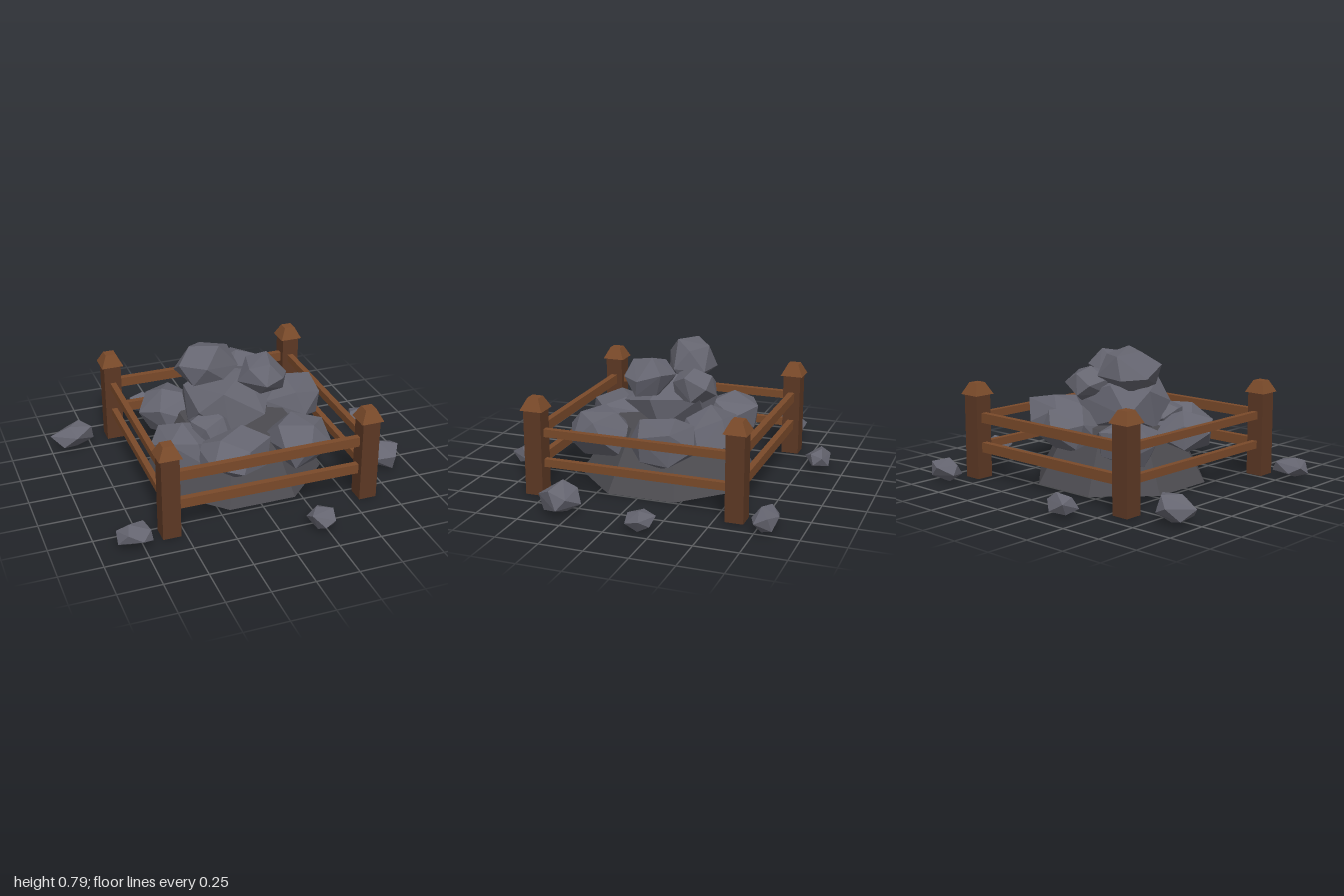
import * as THREE from 'three';
import { ConvexGeometry } from 'three/addons/geometries/ConvexGeometry.js';

function material(name, color) {
  const m = new THREE.MeshStandardMaterial({ color, flatShading: true });
  m.name = name;
  return m;
}

// Small seeded generator
function seeded(seed) {
  let s = seed * 7919 + 17;
  return () => {
    s = (s * 16807) % 2147483647;
    return s / 2147483647;
  };
}

// Faceted boulder: hull of jittered sphere points, fitted to a box given by its limits
function rockGeometry(x0, x1, y0, y1, z0, z1, seed, count = 13) {
  const rnd = seeded(seed);
  for (let i = 0; i < 5; i++) rnd();
  const turn = new THREE.Euler(rnd() * 6.28, rnd() * 6.28, rnd() * 6.28);
  const points = [];
  for (let i = 0; i < count; i++) {
    const h = 1 - (2 * (i + 0.5)) / count;
    const a = i * 2.39996 + (rnd() - 0.5) * 0.4;
    const r = Math.sqrt(1 - h * h);
    const p = new THREE.Vector3(Math.cos(a) * r, h, Math.sin(a) * r);
    points.push(p.multiplyScalar(0.9 + rnd() * 0.2).applyEuler(turn));
  }
  const box = new THREE.Box3().setFromPoints(points);
  const size = box.getSize(new THREE.Vector3());
  const target = new THREE.Vector3(x1 - x0, y1 - y0, z1 - z0);
  for (const p of points) {
    p.sub(box.min).divide(size).multiply(target).add(new THREE.Vector3(x0, y0, z0));
  }
  return new ConvexGeometry(points);
}

export function createModel() {
  const model = new THREE.Group();
  model.name = 'fencedRockPile';
  const stone = material('stone', 0x656570);
  const earth = material('darkStone', 0x4c4b50);
  const darkWood = material('darkWood', 0x5c3824);
  const wood = material('wood', 0x7a4a2a);

  const add = (name, geometry, mat, x = 0, y = 0, z = 0, parent = model) => {
    const mesh = new THREE.Mesh(geometry, mat);
    mesh.name = name;
    mesh.position.set(x, y, z);
    parent.add(mesh);
    return mesh;
  };
  const group = (name) => {
    const g = new THREE.Group();
    g.name = name;
    model.add(g);
    return g;
  };

  // Octagonal mound under the boulders
  const mound = add('mound', new THREE.CylinderGeometry(0.325, 0.522, 0.34, 8), earth, 0.01, 0.17, -0.015);
  mound.rotation.y = Math.PI / 8;

  // Pile: limits of each boulder as x0, x1, y0, y1, z0, z1
  const pile = group('rockPile');
  const boulders = {
    backLeftBoulder: [-0.50, -0.13, 0.16, 0.43, -0.48, -0.12],
    backBoulder: [-0.07, 0.34, 0.17, 0.455, -0.51, -0.15],
    leftSideBoulder: [0.19, 0.58, 0.15, 0.46, -0.32, 0.08],
    frontLeftBoulder: [0.09, 0.46, 0.17, 0.42, 0.11, 0.49],
    frontBoulder: [-0.32, 0.11, 0.16, 0.42, 0.16, 0.54],
    rightSideBoulder: [-0.55, -0.19, 0.18, 0.42, -0.08, 0.33],
    wedgedRock: [-0.31, -0.05, 0.28, 0.47, 0.01, 0.27],
    coreBoulder: [-0.28, 0.21, 0.24, 0.62, -0.25, 0.23],
    summitBoulder: [-0.32, 0.05, 0.53, 0.79, -0.24, 0.05],
    frontSummitRock: [0.0, 0.30, 0.52, 0.74, -0.09, 0.22],
    backSummitRock: [-0.05, 0.20, 0.47, 0.67, -0.32, -0.08],
  };
  Object.entries(boulders).forEach(([name, b], i) => {
    add(name, rockGeometry(...b, i + 3, 14), stone, 0, 0, 0, pile);
  });

  // Loose stones scattered outside the fence
  const loose = group('looseStones');
  [
    [-1.0, -0.73, 0.0, 0.155, -0.64, -0.44],
    [-0.43, -0.25, 0.01, 0.13, -0.91, -0.76],
    [0.56, 0.79, 0.0, 0.13, -0.87, -0.72],
    [0.84, 1.0, 0.01, 0.125, -0.26, -0.11],
    [0.71, 0.95, 0.01, 0.18, 0.20, 0.43],
    [0.15, 0.31, 0.01, 0.13, 0.72, 0.90],
    [-0.89, -0.69, 0.01, 0.13, 0.53, 0.70],
  ].forEach((b, i) => add('looseStone' + (i + 1), rockGeometry(...b, i + 31, 11), stone, 0, 0, 0, loose));

  // Fence: corner posts with tapered caps
  const fence = group('fence');
  const xs = [-0.582, 0.6];
  const zs = [-0.613, 0.568];
  const postGeometry = new THREE.BoxGeometry(0.105, 0.5, 0.105);
  const capGeometry = new THREE.CylinderGeometry(0.032 * Math.SQRT2, 0.067 * Math.SQRT2, 0.07, 4);
  capGeometry.rotateY(Math.PI / 4);
  for (const x of xs) {
    for (const z of zs) {
      add('post', postGeometry, darkWood, x, 0.25, z, fence);
      add('postCap', capGeometry, wood, x, 0.533, z, fence);
    }
  }

  // Two rails on each side
  const span = xs[1] - xs[0];
  const midX = (xs[0] + xs[1]) / 2;
  const midZ = (zs[0] + zs[1]) / 2;
  const longRail = new THREE.BoxGeometry(span, 0.058, 0.037);
  const sideRail = new THREE.BoxGeometry(0.035, 0.046, span);
  for (const y of [0.187, 0.364]) {
    for (const z of zs) add('crossRail', longRail, wood, midX, y, z, fence);
    for (const x of xs) add('sideRail', sideRail, wood, x, y, midZ, fence);
  }
  return model;
}
